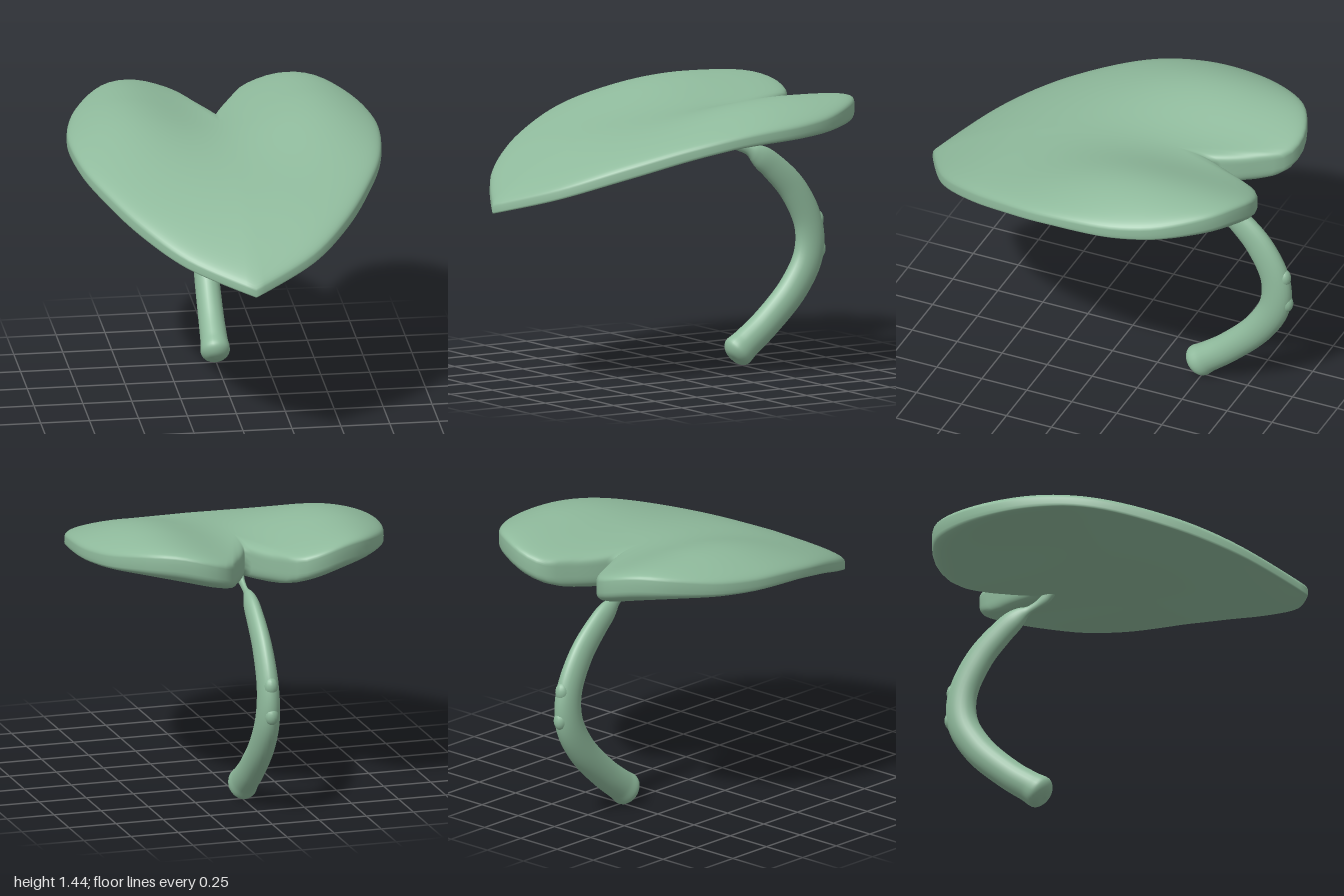
import * as THREE from 'three';
import { mergeVertices } from 'three/addons/utils/BufferGeometryUtils.js';

const V = (x, y, z) => new THREE.Vector3(x, y, z);
const { smoothstep, lerp } = THREE.MathUtils;

// Skin a list of closed rings (equal point counts) with smooth normals
function skin(rings) {
  const n = rings[0].length;
  const index = [];
  for (let i = 0; i < rings.length - 1; i++) {
    for (let j = 0; j < n; j++) {
      const k = (j + 1) % n;
      const a = i * n + j, b = a + n, c = (i + 1) * n + k, d = i * n + k;
      index.push(a, b, c, a, c, d);
    }
  }
  let g = new THREE.BufferGeometry().setFromPoints(rings.flat());
  g.setIndex(index);
  g = mergeVertices(g, 1e-5);
  g.computeVertexNormals();
  return g;
}

// Heart-shaped outline, tip to notch on the left, mirrored to the right
function heartOutline() {
  const half = [
    [0, 1], [0.03, 0.985], [0.33, 0.8], [0.52, 0.585], [0.665, 0.33], [0.76, 0.08],
    [0.795, -0.235], [0.77, -0.43], [0.71, -0.6], [0.57, -0.8], [0.45, -0.88],
    [0.31, -0.92], [0.19, -0.89], [0.11, -0.77], [0.04, -0.64], [0, -0.545],
  ].map(([x, z]) => V(x, 0, z));
  const left = new THREE.CatmullRomCurve3(half).getSpacedPoints(56);
  const right = left.slice(1, -1).reverse().map((p) => V(-p.x, 0, p.z));
  return [...left, ...right];
}

// Raised lobes at the back, fading towards the tip
const lobeHeight = (x, z) => 0.1 * Math.sin(Math.PI * x) ** 2 * (1 - smoothstep(z, -0.5, 0.5));

// Height of the rim level, arched lengthwise
function rimLevel(x, z) {
  const w = Math.max(z, -0.3);
  return 1.25 - 0.121 * w - 0.208 * w * w - 0.0107 * w * w * w + lobeHeight(x, z);
}

// Upper face follows the rim level; the underside is a flatter, fuller belly
const upperFace = (x, z) => rimLevel(x, z) + 0.085 + 0.018 * Math.exp(-(((z - 0.5) / 0.3) ** 2));
function underFace(x, z) {
  const w = Math.max(z, 0);
  return 1.16 - 0.1 * w - 0.18 * w * w + 0.1 * x * x + 0.4 * lobeHeight(x, z);
}

// Rings run from the top centre over the rounded rim to the underside centre
function bladeGeometry() {
  const outline = heartOutline();
  const centerZ = -0.35;
  const steps = 60;
  const rings = [];
  for (let i = 0; i <= steps; i++) {
    const phi = (Math.PI * i) / steps;
    const s = i === steps ? 0 : Math.sin(phi);
    const upper = phi < Math.PI / 2;
    const swell = Math.abs(Math.cos(phi)) ** (upper ? 0.38 : 0.5);
    const face = upper ? upperFace : underFace;
    rings.push(outline.map((p) => {
      const x = p.x * s, z = centerZ + (p.z - centerZ) * s;
      return V(x, lerp(rimLevel(x, z), face(x, z), swell), z);
    }));
  }
  return skin(rings);
}

// Curved stalk: each station holds radius, y and z; it flattens sideways towards the top
function stalkGeometry() {
  const path = new THREE.CatmullRomCurve3([
    [0, 0.042, -0.438], [0.055, 0.05, -0.447], [0.083, 0.068, -0.47], [0.08, 0.11, -0.525],
    [0.078, 0.195, -0.635], [0.08, 0.37, -0.81], [0.081, 0.535, -0.9], [0.079, 0.695, -0.9],
    [0.076, 0.875, -0.81], [0.068, 1.0, -0.69], [0.06, 1.055, -0.62], [0.045, 1.08, -0.58],
    [0.024, 1.098, -0.54], [0.022, 1.12, -0.49], [0.03, 1.15, -0.44], [0.03, 1.2, -0.41], [0, 1.22, -0.4],
  ].map(([r, y, z]) => V(r, y, z)));
  const steps = 110, sides = 24;
  const rings = [];
  for (let i = 0; i <= steps; i++) {
    const p = path.getPoint(i / steps);
    const t = path.getTangent(i / steps).setX(0).normalize();
    const side = V(0, t.z, -t.y);
    const r = i === 0 || i === steps ? 0 : Math.max(p.x, 0.002);
    const flat = lerp(0.9, 0.62, Math.min(p.y / 0.9, 1));
    rings.push(Array.from({ length: sides }, (_, j) => {
      const a = (-2 * Math.PI * j) / sides;
      return V(-0.008, p.y, p.z)
        .addScaledVector(side, Math.sin(a) * r)
        .add(V(Math.cos(a) * r * flat, 0, 0));
    }));
  }
  return skin(rings);
}

export function createModel() {
  const group = new THREE.Group();
  const leafGreen = new THREE.MeshStandardMaterial({ color: 0x8fba9c });
  leafGreen.name = 'leaf green';

  const add = (name, geometry) => {
    const mesh = new THREE.Mesh(geometry, leafGreen);
    mesh.name = name;
    group.add(mesh);
    return mesh;
  };

  add('leafBlade', bladeGeometry());
  add('stalk', stalkGeometry());

  // Small knots on the back of the stalk
  for (const [y, z] of [[0.71, -0.95], [0.56, -0.962]]) {
    const knot = add('stalkKnot', new THREE.SphereGeometry(0.036, 16, 12));
    knot.position.set(-0.008, y, z);
    knot.scale.y = 1.4;
  }
  return group;
}
